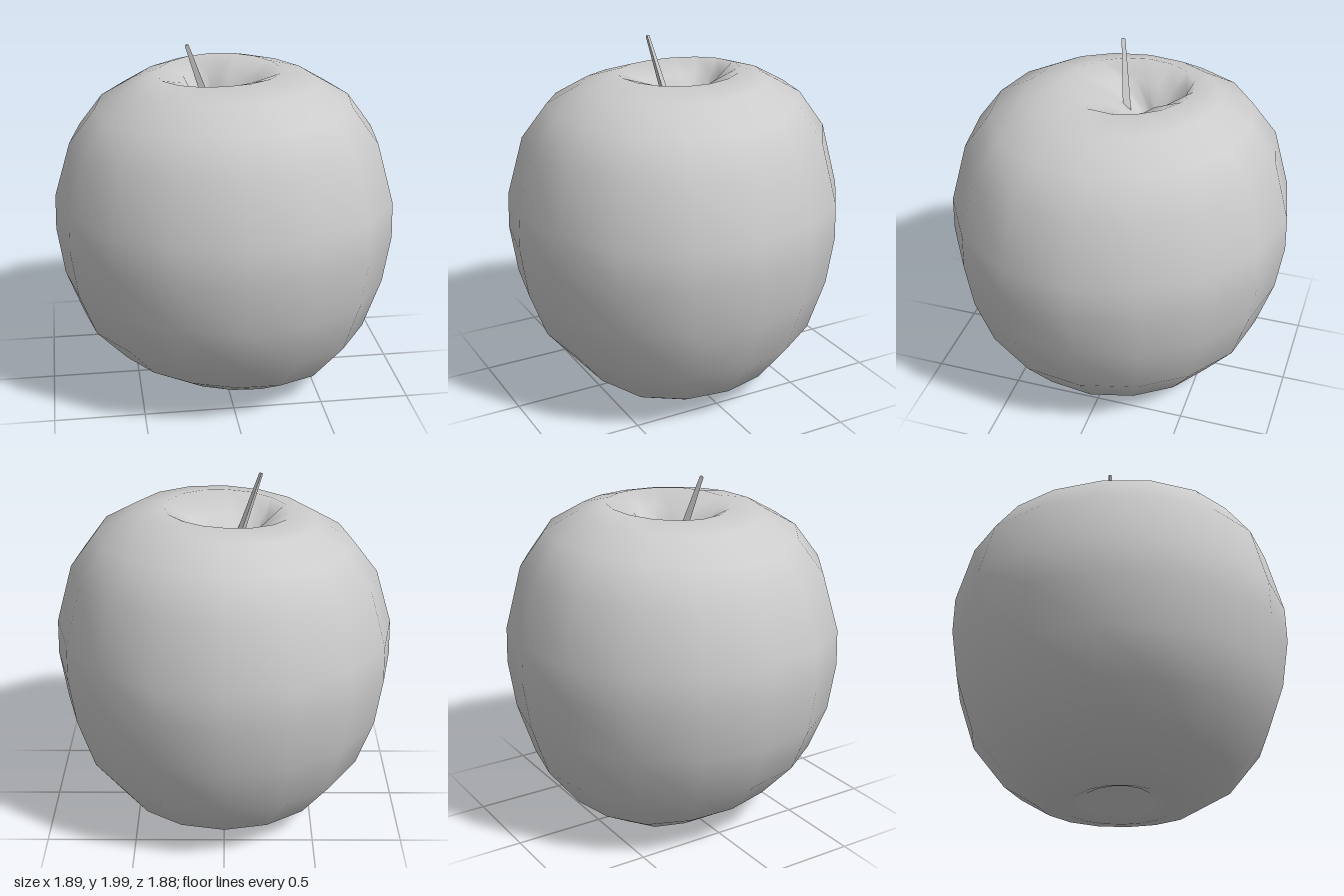
import * as THREE from 'three';
import { mergeVertices } from 'three/addons/utils/BufferGeometryUtils.js';

const SIDES = 16;

// Soft bump around the direction "centre", between 0 and 1
const lobe = (angle, centre) => Math.max(0, Math.cos(angle - centre)) ** 4;

// Body: lathed profile with a dimple at both ends, made slightly irregular
function createBody(material) {
  const profile = [
    [0, 0.16], [0.1, 0.125], [0.2, 0.05], [0.28, 0.014], [0.43, 0.043], [0.62, 0.16],
    [0.8, 0.39], [0.895, 0.68], [0.935, 0.95], [0.93, 1.15], [0.84, 1.48], [0.7, 1.67],
    [0.51, 1.78], [0.34, 1.825], [0.2, 1.75], [0.09, 1.62], [0, 1.52],
  ].map(([r, y]) => new THREE.Vector2(r, y));
  let geometry = new THREE.LatheGeometry(profile, SIDES);
  geometry.deleteAttribute('uv');
  geometry.deleteAttribute('normal');

  const p = geometry.attributes.position;
  for (let i = 0; i < p.count; i++) {
    let x = p.getX(i), y = p.getY(i), z = p.getZ(i);
    const r = Math.hypot(x, z);
    const a = Math.atan2(z, x);
    // fuller towards the front left, flatter towards the back left
    let scale = 1.006 + 0.04 * lobe(a, 0.65) - 0.02 * lobe(a, -0.6);
    // the top dimple has three rounded corners
    if (y > 1.2 && r < 0.3) scale += 0.25 * Math.cos(3 * (a - 0.2));
    x *= scale;
    z *= scale;
    if (y > 1.2) {
      // the shoulder is higher at front and back, lower at the right
      const lean = (y - 1.2) / 0.6;
      const w = Math.max(0, 1 - r / 0.45);
      y += lean * (0.035 * x - 0.015 * z - 0.04 * (x * x - z * z));
      x -= 0.07 * w;
      z -= 0.15 * w;
    } else if (y < 0.6) {
      // the base is raised towards the front right
      y += (1 - y / 0.6) * (0.11 * Math.max(0, z - x) - 0.015 * x);
    }
    p.setXYZ(i, x, y, z);
  }
  geometry = mergeVertices(geometry, 1e-4);
  geometry.computeVertexNormals();
  const body = new THREE.Mesh(geometry, material);
  body.name = 'appleBody';
  return body;
}

// Stem: thin three-sided taper leaning to the right and front
function createStem(material) {
  const base = new THREE.Vector3(-0.04, 1.53, -0.01);
  const tip = new THREE.Vector3(-0.199, 1.994, 0.064);
  const axis = tip.clone().sub(base);
  const geometry = new THREE.CylinderGeometry(0.012, 0.03, axis.length(), 3, 1, false, Math.PI);
  const stem = new THREE.Mesh(geometry, material);
  stem.position.copy(base).add(tip).multiplyScalar(0.5);
  stem.quaternion.setFromUnitVectors(new THREE.Vector3(0, 1, 0), axis.normalize());
  stem.name = 'stem';
  return stem;
}

export function createModel() {
  const group = new THREE.Group();
  group.name = 'apple';
  const grey = new THREE.MeshStandardMaterial({ color: 0xcccccc });
  const stemGrey = new THREE.MeshStandardMaterial({ color: 0xcccccc, flatShading: true });
  group.add(createBody(grey), createStem(stemGrey));
  return group;
}
